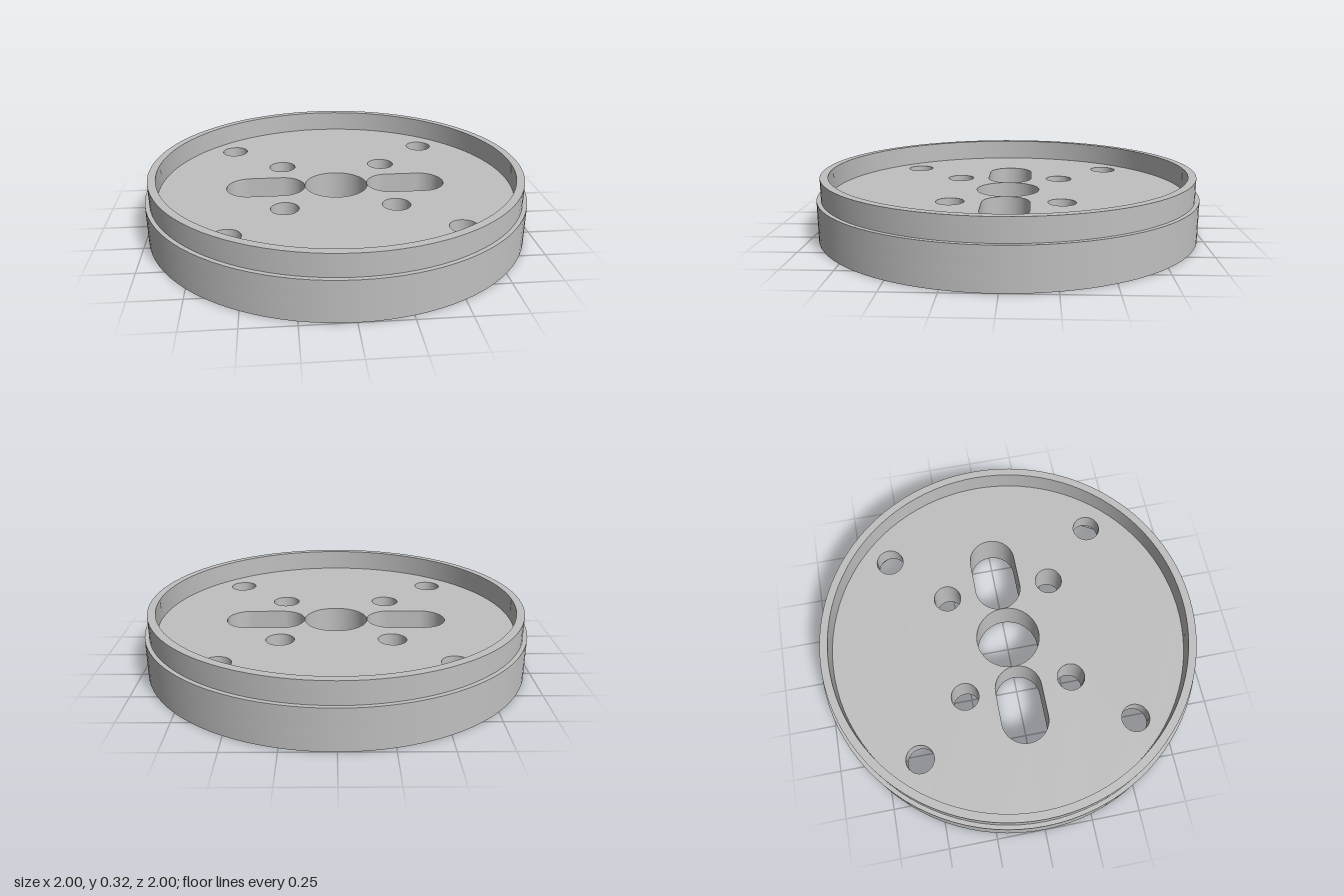
import * as THREE from 'three';
import { toCreasedNormals } from 'three/addons/utils/BufferGeometryUtils.js';

const FLOOR = 0.207, POCKET = 0.112, TOP = 0.32;
const signs = [[1, 1], [1, -1], [-1, 1], [-1, -1]];

function circle(x, y, r) {
  const p = new THREE.Path();
  p.absarc(x, y, r, 0, Math.PI * 2, true);
  return p;
}

// Hexagonal nut pocket with corners pointing along x
function hexagon(x, y, r) {
  const pts = [];
  for (let i = 0; i < 6; i++) {
    const a = -i * Math.PI / 3;
    pts.push(new THREE.Vector2(x + r * Math.cos(a), y + r * Math.sin(a)));
  }
  return new THREE.Path(pts);
}

// Slot with round ends, lying along x
function slot(x, half, r) {
  const p = new THREE.Path();
  p.absarc(x + half, 0, r, Math.PI / 2, -Math.PI / 2, true);
  p.absarc(x - half, 0, r, -Math.PI / 2, -Math.PI * 1.5, true);
  p.closePath();
  return p;
}

// Disc layer with all cut-outs; cornerHole makes the four outer openings
function plate(y0, y1, cornerHole) {
  const s = new THREE.Shape();
  s.absarc(0, 0, 1, 0, Math.PI * 2, false);
  s.holes.push(circle(0, 0, 0.167), slot(0.376, 0.086, 0.122), slot(-0.376, 0.086, 0.122));
  for (const [a, b] of signs) {
    s.holes.push(circle(a * 0.282, b * 0.282, 0.072), cornerHole(a * 0.56, b * 0.56));
  }
  const g = new THREE.ExtrudeGeometry(s, { depth: y1 - y0, bevelEnabled: false, curveSegments: 48 });
  g.rotateX(-Math.PI / 2);
  g.translate(0, y0, 0);
  return toCreasedNormals(g, 0.5);
}

export function createModel() {
  const group = new THREE.Group();
  const grey = new THREE.MeshStandardMaterial({ color: 0xc0c0c0 });
  grey.name = 'plain grey';

  const add = (name, geometry) => {
    const m = new THREE.Mesh(geometry, grey);
    m.name = name;
    group.add(m);
  };

  // Base disc: nut pockets below, bolt holes above
  add('lowerPlate', plate(0, POCKET, (x, y) => hexagon(x, y, 0.145)));
  add('upperPlate', plate(POCKET, FLOOR, (x, y) => circle(x, y, 0.072)));

  // Thin raised rim, set in slightly from the disc edge
  const profile = [[0.978, FLOOR], [0.978, TOP], [0.937, TOP], [0.937, FLOOR]]
    .map(([r, y]) => new THREE.Vector2(r, y));
  add('rim', toCreasedNormals(new THREE.LatheGeometry(profile, 96), 0.5));

  return group;
}
